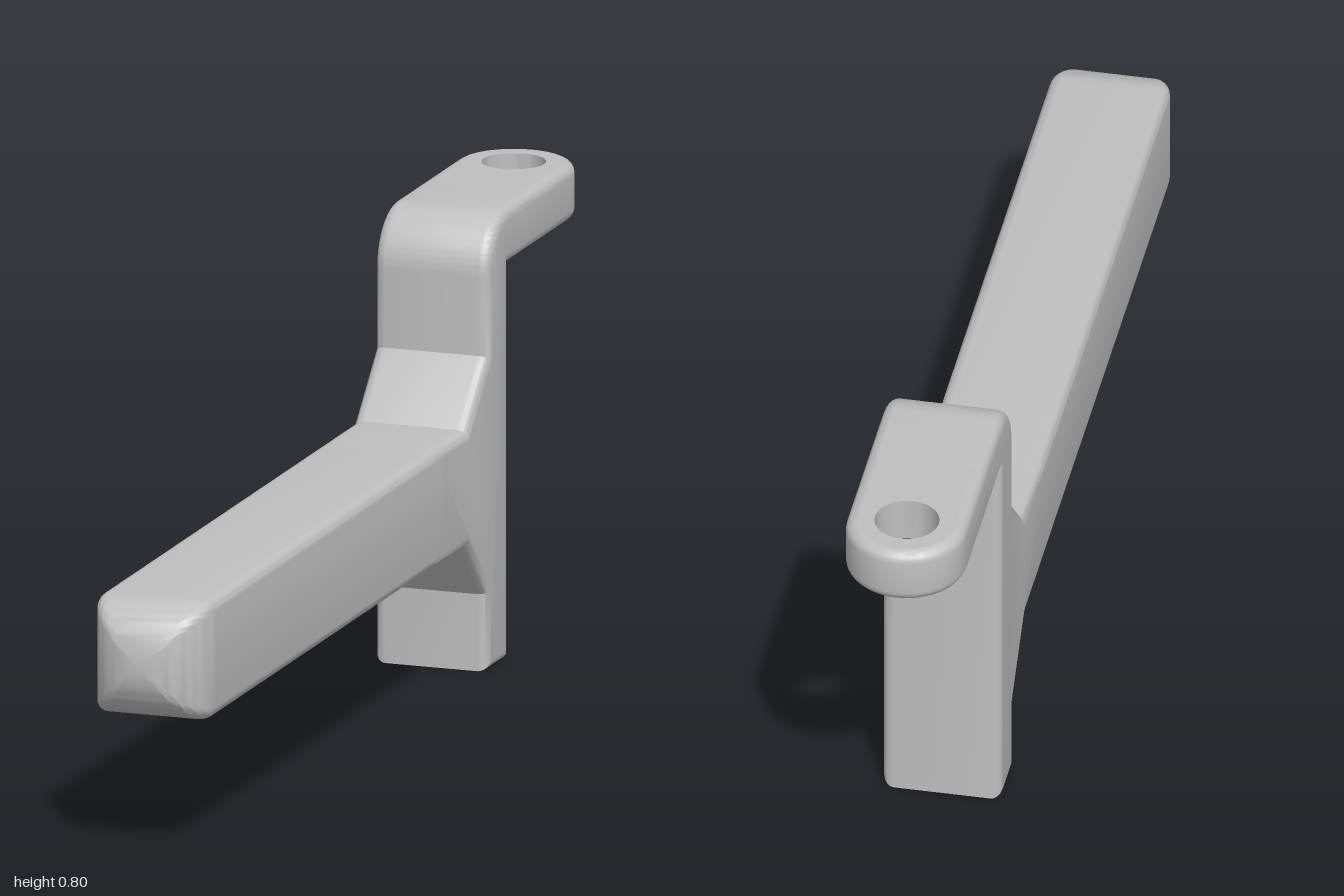
import * as THREE from 'three';
import { toCreasedNormals } from 'three/addons/utils/BufferGeometryUtils.js';

const W = 0.105;       // half width of every member
const R = 0.02;        // edge fillet
const SEG = 5;         // fillet segments
const CREASE = 0.6;

// Skin between rings of equal point count, wound counter-clockwise
function loft(rings) {
  const n = rings[0].length, pos = [], idx = [];
  for (const ring of rings) for (const p of ring) pos.push(...p);
  for (let i = 0; i < rings.length - 1; i++) {
    for (let j = 0; j < n; j++) {
      const a = i * n + j, b = i * n + (j + 1) % n;
      idx.push(a, b, b + n, a, b + n, a + n);
    }
  }
  const g = new THREE.BufferGeometry();
  g.setAttribute('position', new THREE.Float32BufferAttribute(pos, 3));
  g.setIndex(idx);
  return toCreasedNormals(g, CREASE);
}

// Square with rounded corners, as [x, y] points
function roundedSquare() {
  const pts = [], c = W - R;
  [[1, 1], [-1, 1], [-1, -1], [1, -1]].forEach(([sx, sy], q) => {
    for (let k = 0; k <= SEG; k++) {
      const a = (q + k / SEG) * Math.PI / 2;
      pts.push([sx * c + R * Math.cos(a), sy * c + R * Math.sin(a)]);
    }
  });
  return pts;
}

// Horizontal face with round holes; points are [x, depth], depth = -z
function flatFace(points, holes, y, up) {
  const s = up ? 1 : -1;
  const shape = new THREE.Shape(points.map(([x, d]) => new THREE.Vector2(x, s * d)));
  for (const [x, d, r] of holes) {
    shape.holes.push(new THREE.Path().absarc(x, s * d, r, 0, Math.PI * 2, true));
  }
  return new THREE.ShapeGeometry(shape, 20).rotateX(-s * Math.PI / 2).translate(0, y, 0);
}

// Inside wall of a hole, profile listed from top to bottom
function bore(profile) {
  const pts = profile.map(([r, y]) => new THREE.Vector2(r, y));
  return toCreasedNormals(new THREE.LatheGeometry(pts, 40), CREASE);
}

export function createModel() {
  const grey = new THREE.MeshStandardMaterial({ color: 0xbfbfbf });
  grey.name = 'lightGrey';
  const model = new THREE.Group();
  model.name = 'barBracket';
  const add = (name, geometry, x = 0, y = 0, z = 0) => {
    const mesh = new THREE.Mesh(geometry, grey);
    mesh.name = name;
    mesh.position.set(x, y, z);
    model.add(mesh);
  };

  // Upright plate with gussets, bar root, bend and arm root: side profile in (z, y)
  const side = new THREE.Shape();
  side.moveTo(-0.585, 0);
  [[-0.48, 0], [-0.48, 0.137], [-0.374, 0.244], [-0.2, 0.244], [-0.2, 0.454],
    [-0.374, 0.454], [-0.48, 0.56], [-0.48, 0.7]].forEach(([z, y]) => side.lineTo(z, y));
  side.absarc(-0.58, 0.7, 0.1, 0, Math.PI / 2, false);
  [[-0.72, 0.8], [-0.72, 0.7], [-0.585, 0.7]].forEach(([z, y]) => side.lineTo(z, y));
  const plate = new THREE.ExtrudeGeometry(side, {
    depth: 2 * (W - R), bevelThickness: R, bevelSize: R, bevelOffset: -R,
    bevelSegments: SEG, curveSegments: 14,
  }).translate(0, 0, R - W).rotateY(-Math.PI / 2);

  // Open the underside so that a face with holes can close it
  const p = plate.attributes.position, kept = [];
  for (let i = 0; i < p.count; i += 3) {
    if (Math.max(p.getY(i), p.getY(i + 1), p.getY(i + 2)) < 1e-4) continue;
    for (let k = i; k < i + 3; k++) kept.push(p.getX(k), p.getY(k), p.getZ(k));
  }
  const openPlate = new THREE.BufferGeometry();
  openPlate.setAttribute('position', new THREE.Float32BufferAttribute(kept, 3));
  add('uprightPlate', toCreasedNormals(openPlate, CREASE));

  // Underside with two small countersunk holes
  const e = W - R, holeX = 0.055, holeD = 0.5325;
  add('plateUnderside', flatFace([[-e, 0.48], [e, 0.48], [e, 0.585], [-e, 0.585]],
    [[-holeX, holeD, 0.03], [holeX, holeD, 0.03]], 0, false));
  for (const s of [-1, 1]) {
    add('screwHole', bore([[0, 0.1], [0.018, 0.1], [0.018, 0.014], [0.03, 0]]), s * holeX, 0, -holeD);
  }

  // Long square bar, its tip rounded in both directions
  const square = roundedSquare(), barY = 0.349, tipZ = 1 - W;
  const sections = [[-0.25, 1]];
  for (let k = 0; k <= 16; k++) {
    const a = k / 16 * Math.PI / 2;
    sections.push([tipZ + W * Math.sin(a), Math.cos(a)]);
  }
  add('bar', loft(sections.map(([z, s]) => square.map(([x, y]) => [x * s, barY + y * s, z]))));

  // Arm with a rounded end and filleted rims
  const armD = 1 - W;
  const outline = (inset) => {
    const r = W - inset, pts = [];
    for (let k = 0; k <= 28; k++) {
      const a = k / 28 * Math.PI;
      pts.push([r * Math.cos(a), armD + r * Math.sin(a)]);
    }
    pts.push([-r, 0.63], [r, 0.63]);
    return pts;
  };
  const levels = [];
  for (let k = 0; k <= SEG; k++) {
    const a = k / SEG * Math.PI / 2;
    levels.push([R * (1 - Math.sin(a)), R * (1 - Math.cos(a))]);
  }
  const rims = [
    ...levels.map(([i, h]) => [i, 0.7 + h]),
    ...levels.slice().reverse().map(([i, h]) => [i, 0.8 - h]),
  ];
  add('armWall', loft(rims.map(([i, y]) => outline(i).map(([x, d]) => [x, y, -d]))));
  add('armTop', flatFace(outline(R), [[0, armD, 0.056]], 0.8, true));
  add('armUnderside', flatFace(outline(R), [[0, armD, 0.077]], 0.7, false));
  add('armHole', bore([[0.056, 0.8], [0.056, 0.721], [0.077, 0.7]]), 0, 0, -armD);

  return model;
}
